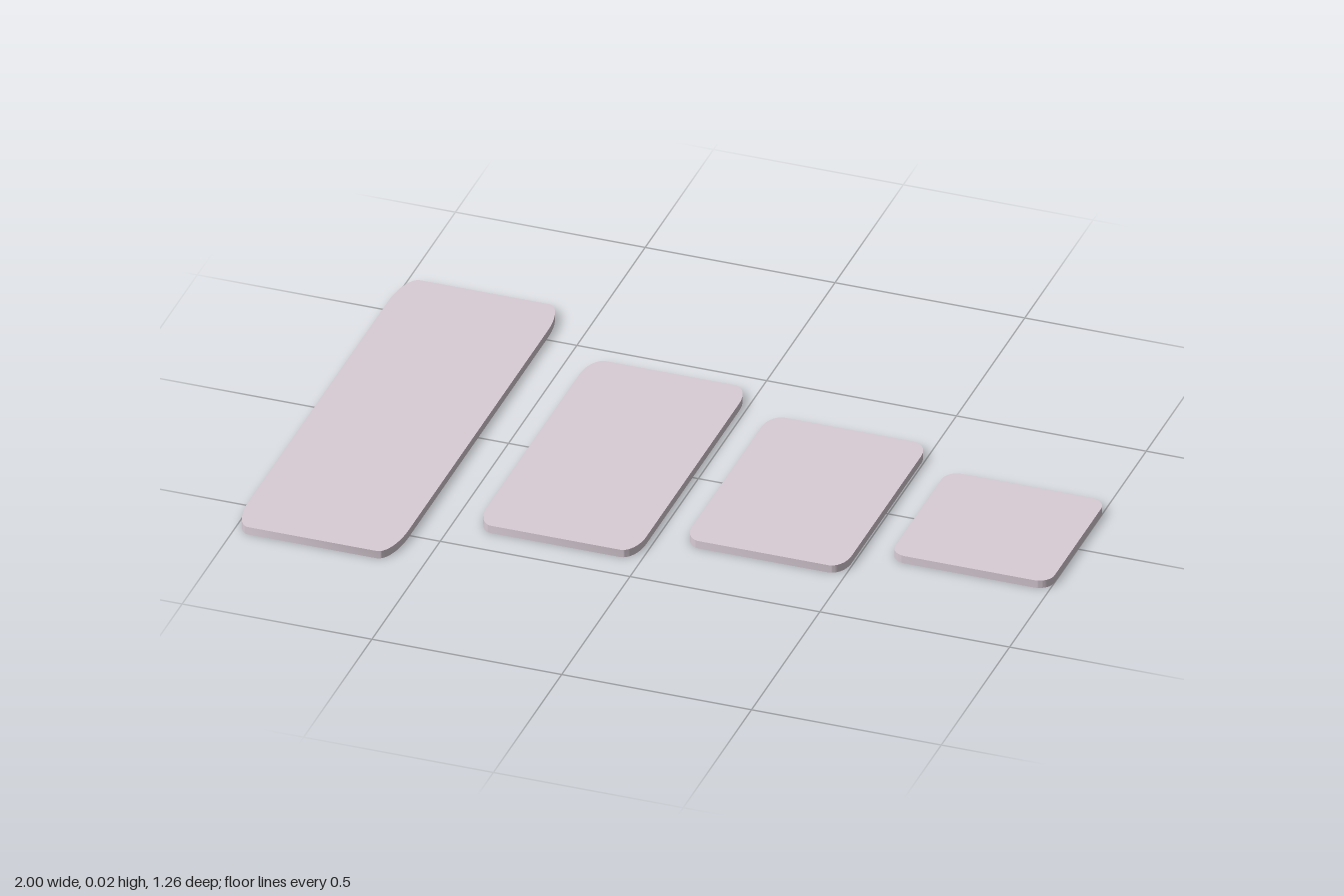
import * as THREE from 'three';
import { toCreasedNormals } from 'three/addons/utils/BufferGeometryUtils.js';

const WIDTH = 0.42, THICKNESS = 0.021, RADIUS = 0.04;

// Flat plate whose rounded corners stretch along with its depth
function plateGeometry(depth) {
  const hx = WIDTH / 2, hz = depth / 2;
  const rx = RADIUS, rz = RADIUS * depth / WIDTH;
  const shape = new THREE.Shape();
  const corners = [[1, 1], [-1, 1], [-1, -1], [1, -1]];
  shape.moveTo(hx, hz - rz);
  corners.forEach(([sx, sz], i) => {
    const start = i * Math.PI / 2;
    shape.absellipse(sx * (hx - rx), sz * (hz - rz), rx, rz, start, start + Math.PI / 2, false, 0);
  });
  shape.closePath();
  const geometry = new THREE.ExtrudeGeometry(shape, { depth: THICKNESS, bevelEnabled: false, curveSegments: 8 });
  geometry.rotateX(-Math.PI / 2);
  return toCreasedNormals(geometry, Math.PI / 3);
}

export function createModel() {
  const model = new THREE.Group();
  model.name = 'plateSet';
  const material = new THREE.MeshStandardMaterial({ color: 0xd9ccd5 });

  // Four plates, longest to shortest
  const plates = [
    ['longPlate', -0.79, 1.26],
    ['mediumPlate', -0.225, 0.84],
    ['shortPlate', 0.285, 0.63],
    ['squarePlate', 0.79, 0.42],
  ];
  for (const [name, x, depth] of plates) {
    const plate = new THREE.Mesh(plateGeometry(depth), material);
    plate.name = name;
    plate.position.x = x;
    model.add(plate);
  }
  return model;
}
